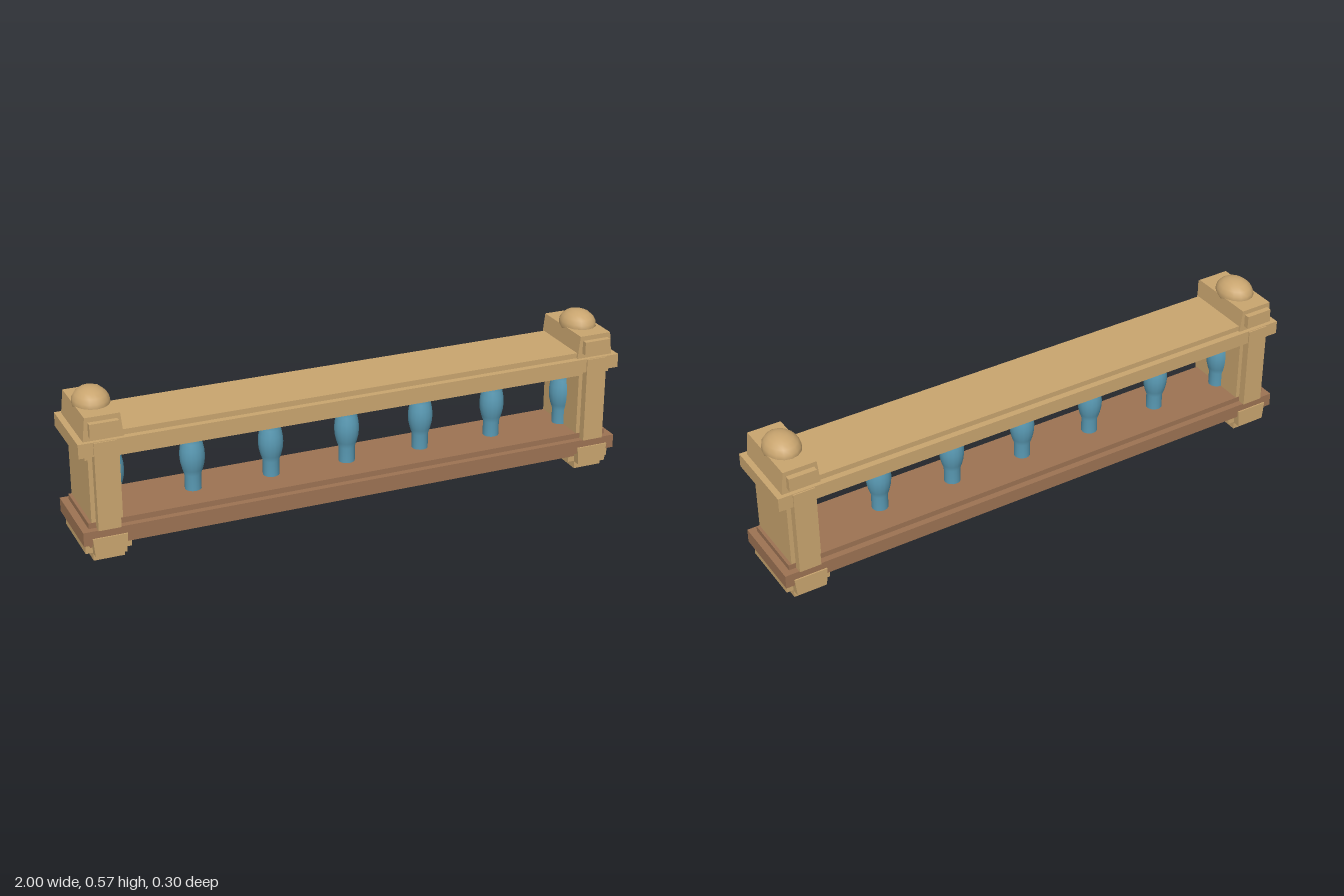
import * as THREE from 'three';

export function createModel() {
  const model = new THREE.Group();
  model.name = 'balustrade';

  const material = (name, color) => {
    const m = new THREE.MeshStandardMaterial({ color });
    m.name = name;
    return m;
  };
  const tan = material('tan stone', 0xc9a56f);
  const brown = material('brown base', 0x9d7353);
  const blue = material('blue baluster', 0x5a9bb5);

  // Box from half sizes and a y range; topX is the half width at the top
  function slab(parent, name, mat, halfX, halfZ, y0, y1, topX = halfX) {
    const geo = new THREE.BoxGeometry(halfX * 2, y1 - y0, halfZ * 2);
    const p = geo.attributes.position;
    for (let i = 0; i < p.count; i++) {
      if (p.getY(i) > 0) p.setX(i, Math.sign(p.getX(i)) * topX);
    }
    geo.computeVertexNormals();
    const mesh = new THREE.Mesh(geo, mat);
    mesh.name = name;
    mesh.position.y = (y0 + y1) / 2;
    parent.add(mesh);
  }

  // Long rails, each a core with a projecting band
  slab(model, 'bottomRailCore', brown, 0.975, 0.122, 0.05, 0.14);
  slab(model, 'bottomRailBand', brown, 1.0, 0.145, 0.07, 0.12);
  slab(model, 'topRailCore', tan, 0.975, 0.122, 0.367, 0.456);
  slab(model, 'topRailBand', tan, 1.0, 0.145, 0.387, 0.437);

  // End posts with foot, pilaster, cap and domed finial
  for (const side of [-1, 1]) {
    const post = new THREE.Group();
    post.name = side > 0 ? 'leftPost' : 'rightPost';
    post.position.x = side * 0.91;
    slab(post, 'body', tan, 0.054, 0.121, 0, 0.46);
    slab(post, 'pilaster', tan, 0.039, 0.15, 0.12, 0.435);
    slab(post, 'footBlock', tan, 0.054, 0.15, 0.027, 0.093, 0.06);
    slab(post, 'footPlinth', tan, 0.08, 0.121, 0.03, 0.075);
    slab(post, 'capBlock', tan, 0.05, 0.15, 0.455, 0.503);
    slab(post, 'cap', tan, 0.069, 0.13, 0.437, 0.52, 0.06);

    const dome = new THREE.Mesh(
      new THREE.SphereGeometry(1, 16, 6, 0, Math.PI * 2, 0, Math.PI * 0.62), tan);
    dome.name = 'finial';
    dome.scale.set(0.064, 0.053, 0.078);
    dome.position.y = 0.52;
    post.add(dome);
    model.add(post);
  }

  // Turned balusters
  const profile = [
    [0.029, 0.13], [0.029, 0.195], [0.036, 0.215], [0.042, 0.24], [0.044, 0.265],
    [0.042, 0.29], [0.037, 0.315], [0.034, 0.33], [0.035, 0.375],
  ].map(([r, y]) => new THREE.Vector2(r, y));
  const balusterGeo = new THREE.LatheGeometry(profile, 16);
  for (let i = -3; i <= 3; i++) {
    const baluster = new THREE.Mesh(balusterGeo, blue);
    baluster.name = 'baluster';
    baluster.position.x = i * 0.285;
    model.add(baluster);
  }

  return model;
}
